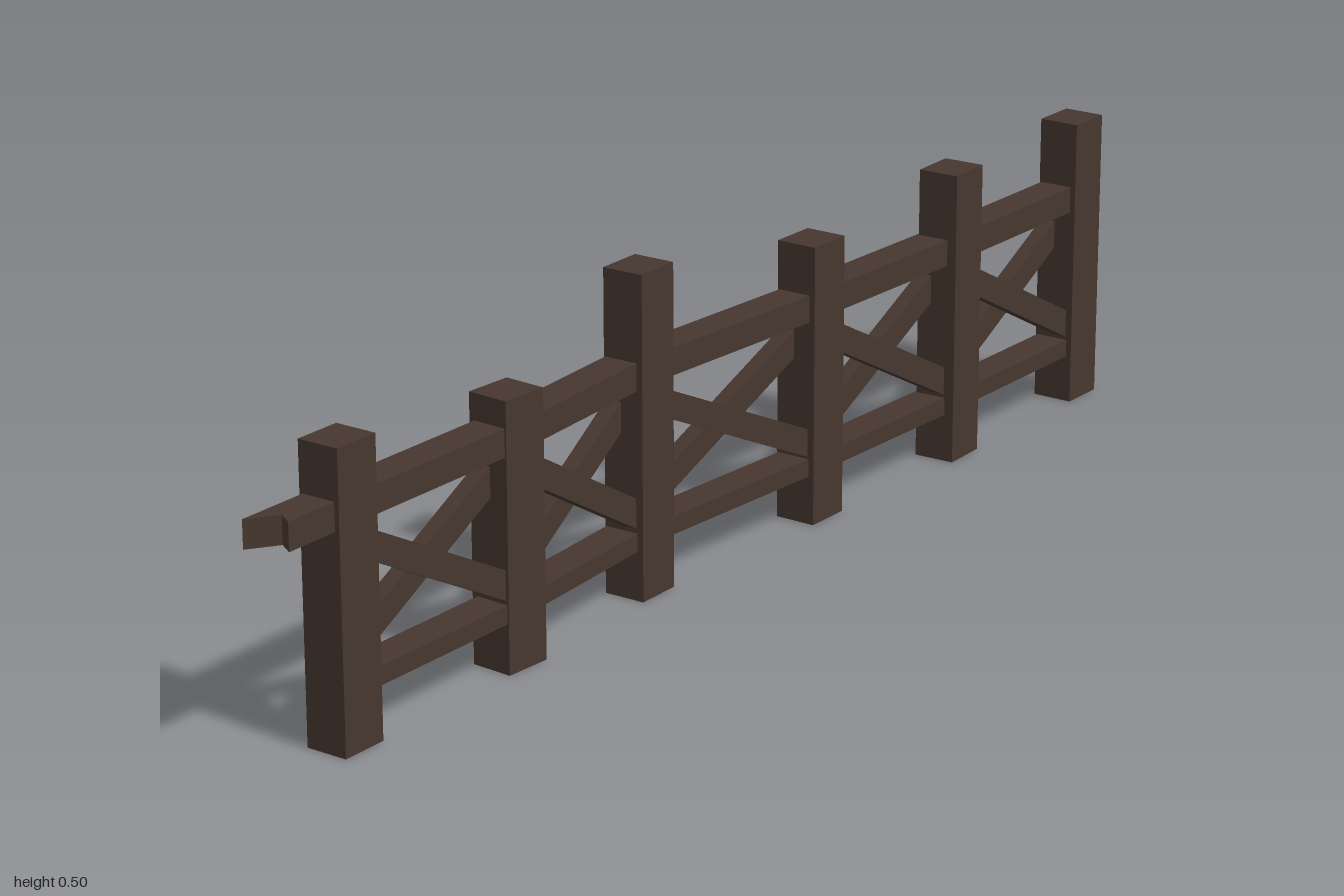
import * as THREE from 'three';

const wood = new THREE.MeshStandardMaterial({ color: 0x46372f });
wood.name = 'dark brown wood';

// Each post: x, z, height, turn about y, and z of the rails where they meet it
const posts = [
  { x: -0.843, z: 0.004, h: 0.437, turn: 0, rail: 0.003 },
  { x: -0.487, z: 0.002, h: 0.402, turn: -0.06, rail: 0.003 },
  { x: -0.16, z: -0.017, h: 0.495, turn: 0.02, rail: -0.023 },
  { x: 0.245, z: 0.001, h: 0.438, turn: 0, rail: 0.0 },
  { x: 0.602, z: 0.016, h: 0.467, turn: 0.04, rail: 0.009 },
  { x: 0.962, z: 0.012, h: 0.467, turn: 0, rail: 0.009 },
];

function addMesh(parent, name, geometry) {
  const mesh = new THREE.Mesh(geometry, wood);
  mesh.name = name;
  parent.add(mesh);
  return mesh;
}

// Square beam from point a to point b, always upright in section
function beam(parent, name, a, b, height, depth) {
  const dir = b.clone().sub(a);
  const mesh = addMesh(parent, name, new THREE.BoxGeometry(dir.length(), height, depth));
  const xAxis = dir.normalize();
  const zAxis = new THREE.Vector3(-xAxis.z, 0, xAxis.x).normalize();
  const yAxis = zAxis.clone().cross(xAxis);
  mesh.quaternion.setFromRotationMatrix(new THREE.Matrix4().makeBasis(xAxis, yAxis, zAxis));
  mesh.position.addVectors(a, b).multiplyScalar(0.5);
  return mesh;
}

export function createModel() {
  const fence = new THREE.Group();
  fence.name = 'fence';

  // Upright posts
  for (const p of posts) {
    const post = addMesh(fence, 'post', new THREE.BoxGeometry(0.077, p.h, 0.067));
    post.position.set(p.x, p.h / 2, p.z);
    post.rotation.y = p.turn;
  }

  // Rails and crossed braces between neighbouring posts
  for (let i = 0; i < posts.length - 1; i++) {
    const p = posts[i], q = posts[i + 1];
    const bay = new THREE.Group();
    bay.name = 'fenceBay';
    fence.add(bay);
    const span = (name, y0, y1, dz, height, depth) => beam(bay, name,
      new THREE.Vector3(p.x, y0, p.rail + dz), new THREE.Vector3(q.x, y1, q.rail + dz), height, depth);
    span('topRail', 0.341, 0.341, 0, 0.042, 0.055);
    span('bottomRail', 0.09, 0.09, 0, 0.028, 0.055);
    span('frontBrace', 0.298, 0.112, 0.013, 0.04, 0.025);
    span('backBrace', 0.112, 0.298, -0.013, 0.04, 0.025);
  }

  // Splintered rail stub beyond the end post, drawn in plan and extruded upward
  const plan = new THREE.Shape([
    [-1, 0.024], [-0.957, -0.006], [-0.972, -0.03], [-0.843, -0.03], [-0.843, 0.024],
  ].map(([x, y]) => new THREE.Vector2(x, y)));
  const stub = addMesh(fence, 'brokenRailEnd',
    new THREE.ExtrudeGeometry(plan, { depth: 0.042, bevelEnabled: false }));
  stub.rotation.x = -Math.PI / 2;
  stub.position.y = 0.32;

  return fence;
}
